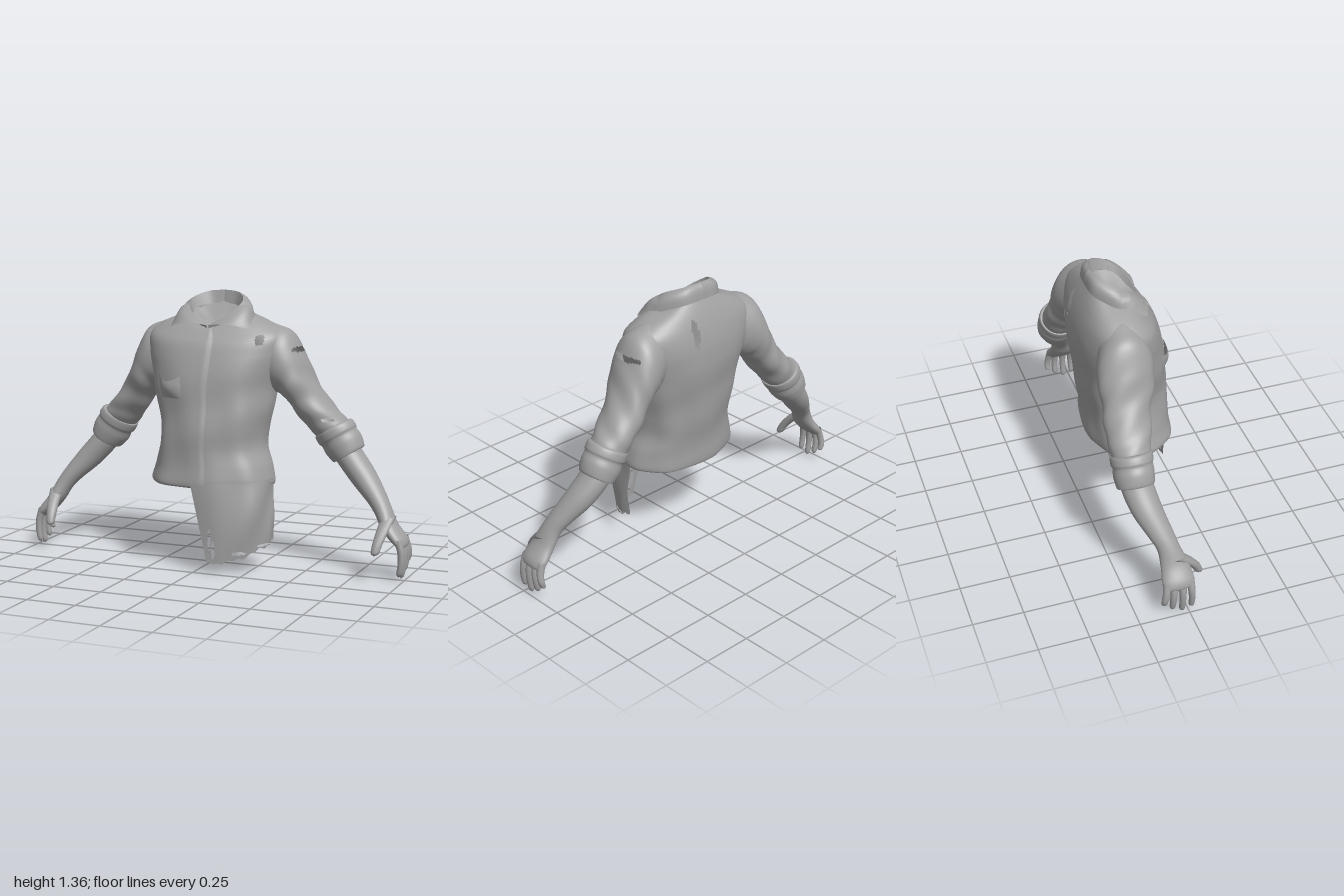
import * as THREE from 'three';

const cloth = new THREE.MeshStandardMaterial({ color: 0xa0a0a0, side: THREE.DoubleSide });
cloth.name = 'grey';
const V = (x, y, z) => new THREE.Vector3(x, y, z);
const curve = pts => new THREE.CatmullRomCurve3(pts.map(p => V(...p)));

// Smooth interpolation through rows of numbers, v in 0..1
function blend(rows, v) {
  const f = Math.min(Math.max(v, 0), 1) * (rows.length - 1);
  const i = Math.min(Math.floor(f), rows.length - 2), t = f - i;
  const at = k => rows[Math.min(Math.max(k, 0), rows.length - 1)];
  const [a, b, c, d] = [at(i - 1), at(i), at(i + 1), at(i + 2)];
  return b.map((_, k) => b[k] + 0.5 * t * (c[k] - a[k]
    + t * (2 * a[k] - 5 * b[k] + 4 * c[k] - d[k] + t * (3 * (b[k] - c[k]) + d[k] - a[k]))));
}

// Surface from fn(u, v); skip(point) cuts holes
function surface(name, nu, nv, fn, { closed = false, flip = false, skip = null } = {}) {
  const pos = [], idx = [], cols = closed ? nu : nu + 1, pts = [];
  for (let j = 0; j <= nv; j++) for (let i = 0; i < cols; i++) {
    const p = fn(i / nu, j / nv);
    pts.push(p);
    pos.push(p.x, p.y, p.z);
  }
  for (let j = 0; j < nv; j++) for (let i = 0; i < nu; i++) {
    const a = j * cols + i, b = j * cols + (i + 1) % cols, c = a + cols, d = b + cols;
    if (skip && skip(pts[a].clone().add(pts[d]).multiplyScalar(0.5))) continue;
    if (flip) idx.push(a, c, b, b, c, d); else idx.push(a, b, c, b, d, c);
  }
  const g = new THREE.BufferGeometry();
  g.setAttribute('position', new THREE.Float32BufferAttribute(pos, 3));
  g.setIndex(idx);
  g.computeVertexNormals();
  const m = new THREE.Mesh(g, cloth);
  m.name = name;
  return m;
}

// Torso rings: ySide, yFront, yBack, xRight, xLeft, zBack, zFront, zSide
const torsoRows = [
  [1.26, 1.19, 1.31, -0.125, 0.125, -0.16, 0.05, -0.07],
  [1.24, 1.175, 1.27, -0.20, 0.20, -0.185, 0.068, -0.08],
  [1.20, 1.15, 1.21, -0.295, 0.295, -0.215, 0.09, -0.09],
  [1.15, 1.11, 1.14, -0.358, 0.358, -0.24, 0.12, -0.10],
  [1.07, 1.05, 1.06, -0.36, 0.36, -0.257, 0.145, -0.10],
  [0.99, 0.98, 0.98, -0.34, 0.34, -0.26, 0.165, -0.09],
  [0.90, 0.90, 0.90, -0.315, 0.315, -0.255, 0.18, -0.07],
  [0.80, 0.80, 0.80, -0.288, 0.30, -0.245, 0.193, -0.05],
  [0.70, 0.70, 0.70, -0.27, 0.285, -0.232, 0.203, -0.04],
  [0.60, 0.60, 0.60, -0.265, 0.275, -0.222, 0.21, -0.02],
  [0.51, 0.51, 0.51, -0.285, 0.305, -0.212, 0.218, -0.01],
  [0.44, 0.435, 0.425, -0.308, 0.325, -0.205, 0.224, 0],
  [0.415, 0.415, 0.405, -0.30, 0.315, -0.195, 0.215, 0],
  [0.43, 0.425, 0.42, -0.28, 0.295, -0.178, 0.20, 0],
];
const pw = (a, e) => Math.sign(a) * Math.abs(a) ** e;

function torso(t, v, off = 0) {
  const [ys, yf, yb, xr, xl, zb, zf, zc] = blend(torsoRows, v);
  const c = Math.cos(t), s = Math.sin(t), cx = (xl + xr) / 2;
  const y = ys + ((s > 0 ? yf : yb) - ys) * s * s;
  // soft drapes in the lower cloth
  const fold = 0.007 * Math.sin(5 * t + 9 * y) * Math.sin(3 * t - 14 * y)
    * THREE.MathUtils.smoothstep(1.15 - y, 0, 0.4);
  return V(cx + (xl - cx) * pw(c, 0.86) + c * (off + fold), y,
    zc + (s > 0 ? zf - zc : zc - zb) * pw(s, 0.86) + s * (off + fold));
}
// Ring parameter at a given height on the front
function vAt(y) {
  let a = 0, b = 11 / 13;
  for (let i = 0; i < 24; i++) {
    const m = (a + b) / 2;
    if (torso(Math.PI / 2, m).y > y) a = m; else b = m;
  }
  return a;
}
const inOval = (x, y, cx, cy, rx, ry) => ((x - cx) / rx) ** 2 + ((y - cy) / ry) ** 2 < 1;
const torsoTear = p => (p.z > 0 && inOval(p.x, p.y, 0.27, 1.135, 0.022, 0.025))
  || (p.z < -0.1 && (inOval(p.x, p.y, 0.09, 1.14, 0.02, 0.07) || inOval(p.x, p.y, 0.15, 1.03, 0.01, 0.018)));

// Limb rings: outer xy, inner xy, zCentre, zHalf
function limb(name, side, rows, nv, wrinkle = 0, skip = null) {
  return surface(name, 56, nv, (u, v) => {
    const [ox, oy, ix, iy, zc, d] = blend(rows, v), t = u * Math.PI * 2;
    const k = 1 + wrinkle * Math.sin(v * 26 + 2 * Math.sin(t)) * Math.sin(2 * t + v * 9)
      * THREE.MathUtils.smoothstep(v, 0.3, 0.55) * Math.sin(v * Math.PI);
    const c = Math.cos(t) * k / 2;
    return V(side * ((ox + ix) / 2 + c * (ox - ix)), (oy + iy) / 2 + c * (oy - iy), zc + d * k * Math.sin(t));
  }, { closed: true, flip: side < 0, skip });
}

const sleeveRows = [
  [0.21, 1.23, 0.19, 1.00, -0.088, 0.085], [0.30, 1.203, 0.235, 0.91, -0.097, 0.12],
  [0.385, 1.163, 0.285, 0.875, -0.105, 0.138],
  [0.45, 1.04, 0.335, 0.855, -0.115, 0.135], [0.51, 0.915, 0.395, 0.785, -0.13, 0.12],
  [0.59, 0.80, 0.45, 0.71, -0.145, 0.108], [0.65, 0.74, 0.50, 0.65, -0.155, 0.095],
  [0.675, 0.69, 0.54, 0.60, -0.157, 0.085],
];
const cuffRows = [
  [0.63, 0.725, 0.51, 0.65, -0.155, 0.08], [0.665, 0.745, 0.495, 0.645, -0.157, 0.10],
  [0.69, 0.72, 0.515, 0.61, -0.158, 0.102], [0.695, 0.70, 0.53, 0.60, -0.158, 0.096],
  [0.718, 0.67, 0.55, 0.565, -0.16, 0.098], [0.735, 0.62, 0.585, 0.53, -0.16, 0.092],
  [0.725, 0.605, 0.595, 0.53, -0.16, 0.086], [0.70, 0.62, 0.59, 0.56, -0.16, 0.075],
];
const armRows = [
  [0.66, 0.70, 0.55, 0.61, -0.16, 0.06], [0.72, 0.605, 0.605, 0.535, -0.155, 0.078],
  [0.80, 0.505, 0.695, 0.435, -0.13, 0.075], [0.87, 0.405, 0.785, 0.355, -0.09, 0.062],
  [0.908, 0.34, 0.83, 0.305, -0.066, 0.056], [0.945, 0.265, 0.87, 0.24, -0.05, 0.068],
  [0.99, 0.205, 0.92, 0.185, -0.048, 0.078], [1.0, 0.17, 0.95, 0.16, -0.05, 0.072],
  [0.985, 0.155, 0.965, 0.152, -0.05, 0.05], [0.975, 0.155, 0.975, 0.155, -0.05, 0.0],
];

// Tapered digit with a round tip
function digit(name, side, pts, r, taper) {
  const c = curve(pts);
  return surface(name, 14, 20, (u, v) => {
    const p = c.getPoint(v), t = u * Math.PI * 2;
    const w = r * (1 - taper * v) * Math.sqrt(Math.max(0, 1 - Math.max(0, (v - 0.88) / 0.12) ** 2));
    return V(side * (p.x + w * Math.cos(t)), p.y, p.z + w * Math.sin(t));
  }, { closed: true, flip: side < 0 });
}

function makeArm(side) {
  const g = new THREE.Group();
  g.name = side > 0 ? 'leftArm' : 'rightArm';
  const tear = p => side > 0
    && ((p.x > 0.36 && inOval(p.z, p.y, -0.11, 1.085, 0.09, 0.013)) || (p.z > -0.1 && inOval(p.x, p.y, 0.58, 0.745, 0.03, 0.009)));
  g.add(limb('sleeve', side, sleeveRows, 150, 0.06, tear));
  g.add(limb('rolledCuff', side, cuffRows, 36));
  g.add(limb('forearmAndPalm', side, armRows, 60));
  [[0.008, 0.015, 0.018], [-0.032, -0.032, 0.002], [-0.072, -0.08, 0.028], [-0.106, -0.122, 0.065]].forEach(([zb, zt, yt]) =>
    g.add(digit('finger', side, [[0.965, 0.2, zb], [0.983, 0.14, (zb + zt) / 2], [0.985, 0.08 + yt / 3, zt], [0.974, yt, zt]], 0.02, 0.3)));
  g.add(digit('thumb', side, [[0.905, 0.30, -0.045], [0.893, 0.24, 0.02], [0.882, 0.185, 0.065], [0.874, 0.13, 0.092]], 0.036, 0.45));
  return g;
}

// Folded collar leaf with inner band, one half
const collarTop = curve([[0, 1.36, -0.165], [0.08, 1.352, -0.145], [0.135, 1.32, -0.07],
  [0.118, 1.275, 0.0], [0.07, 1.238, 0.04], [0.005, 1.2, 0.064]]);
const collarEdge = curve([[0, 1.285, -0.195], [0.10, 1.278, -0.182], [0.175, 1.25, -0.11],
  [0.207, 1.222, -0.04], [0.212, 1.20, 0.01], [0.205, 1.183, 0.052]]);
function makeCollar(side) {
  const g = new THREE.Group();
  g.name = 'collar';
  g.add(surface('collarLeaf', 40, 8, (u, v) => {
    const p = collarTop.getPoint(u).lerp(collarEdge.getPoint(u), v), b = 0.016 * Math.sin(v * Math.PI);
    return V(side * (p.x + b * Math.sin(u * 2.4)), p.y + b, p.z + b * (u > 0.5 ? 1 : -0.4));
  }, { flip: side > 0 }));
  g.add(surface('collarBand', 40, 3, (u, v) => {
    const p = collarTop.getPoint(u);
    return V(side * p.x * (1 - 0.12 * v), p.y - 0.07 * v * (1 - 0.6 * u), p.z + 0.012 * v * (u < 0.5 ? 1 : -1));
  }, { flip: side < 0 }));
  return g;
}

export function createModel() {
  const model = new THREE.Group();
  model.name = 'tornShirtWithArms';
  const H = Math.PI / 2;
  model.add(surface('shirtBody', 180, 150, (u, v) => torso(u * Math.PI * 2, v), { closed: true, skip: torsoTear }));

  // Dished lining closing the neck opening
  model.add(surface('neckLining', 40, 8, (u, v) => {
    const p = torso(u * Math.PI * 2, 0);
    return V(p.x * (1 - v), THREE.MathUtils.lerp(p.y, 1.25, v) - 0.045 * Math.sin(v * H), THREE.MathUtils.lerp(p.z, -0.06, v));
  }, { closed: true, flip: true }));

  // Overlapping button placket
  const v0 = 0.03, v1 = 11 / 13;
  model.add(surface('placket', 8, 70, (u, v) => torso(H - 0.10 + u * (0.10 + 0.075 * Math.min(1, v * 4)),
    v0 + (v1 - v0) * v, u === 0 ? 0.001 : 0.008 * Math.min(1, u * 3))));
  model.add(surface('placketEdge', 1, 70, (u, v) => torso(H + 0.075 * Math.min(1, v * 4),
    v0 + (v1 - v0) * v, 0.008 - 0.012 * u)));

  // Torn chest pocket with drooping top
  const p0 = vAt(0.955), p1 = vAt(0.845);
  model.add(surface('chestPocket', 16, 12, (u, v) => torso(H + 0.24 + 0.5 * u,
    p0 + (p1 - p0) * (v + (1 - v) * 0.28 * Math.sin(u * Math.PI)),
    0.002 + (0.016 * (1 - v) + 0.01 * Math.sin(v * Math.PI)) * Math.sin(u * Math.PI))));

  // Long ragged tail hanging from the left front
  const tailEnd = curve([[0.075, 0.05, 0.248], [0.14, 0.06, 0.238], [0.22, 0.075, 0.20],
    [0.29, 0.11, 0.13], [0.325, 0.13, 0.05], [0.325, 0.15, -0.01]]);
  const tailTear = p => inOval(p.x, p.y, 0.085, 0.17, 0.008, 0.05) || inOval(p.x, p.y, 0.105, 0.12, 0.009, 0.045)
    || inOval(p.x, p.y, 0.22, 0.105, 0.03, 0.009) || inOval(p.x, p.y, 0.31, 0.135, 0.018, 0.007);
  model.add(surface('shirtTail', 90, 70, (u, v) => {
    const a = 1 - u;
    const top = torso(H + 0.075 - a * (H + 0.095), 10.8 / 13, 0.001);
    const rag = 0.009 * Math.sin(a * 37) * Math.sin(a * 15 + 1) * v ** 4;
    const p = top.lerp(tailEnd.getPoint(a), v);
    const b = 0.014 * Math.sin(v * Math.PI) * Math.sin(a * Math.PI) + 0.03 * Math.sin(a * 11 + v * 5) * v * (1 - v) * a;
    return V(p.x + b, p.y + rag, p.z + b);
  }, { skip: tailTear }));

  for (const side of [1, -1]) model.add(makeArm(side), makeCollar(side));
  return model;
}
